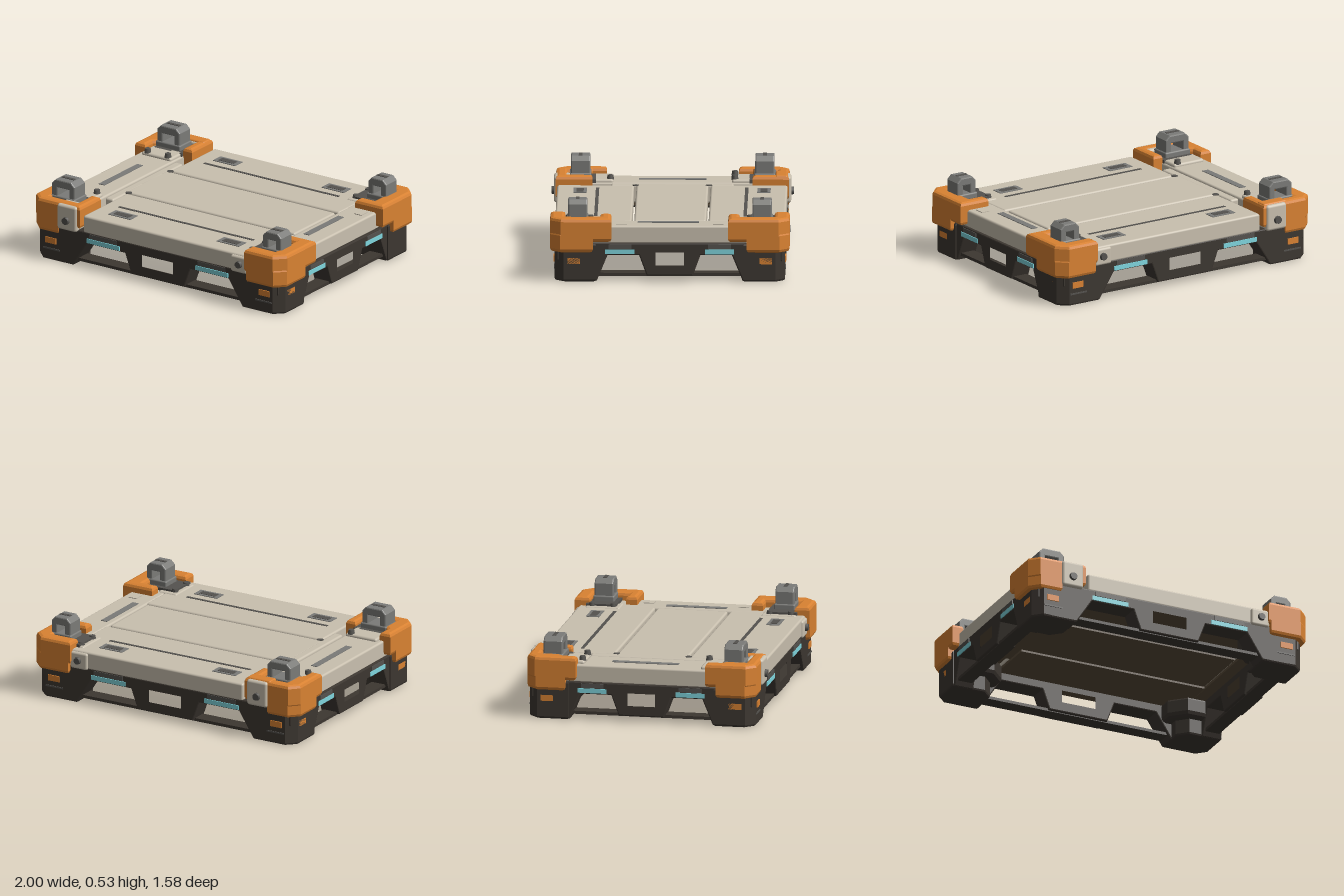
import * as THREE from 'three';
import { RoundedBoxGeometry } from 'three/addons/geometries/RoundedBoxGeometry.js';

const mat = (name, color) => {
  const m = new THREE.MeshStandardMaterial({ color });
  m.name = name;
  return m;
};

export function createModel() {
  const root = new THREE.Group();
  root.name = 'cargoPallet';
  const beige = mat('beige deck', 0xc9c0af);
  const orange = mat('orange bumper', 0xd98232);
  const dark = mat('dark frame', 0x3d3731);
  const brown = mat('brown underside', 0x5a4c3a);
  const gray = mat('gray metal', 0x7b7b78);
  const deepGray = mat('deep gray bolt', 0x55534f);
  const cyan = mat('cyan light', 0x7fd6de);

  const add = (parent, name, geo, m) => {
    const mesh = new THREE.Mesh(geo, m);
    mesh.name = name;
    parent.add(mesh);
    return mesh;
  };
  // Box given by its limits, rounded when r > 0
  const box = (parent, name, m, x0, x1, y0, y1, z0, z1, r = 0) => {
    const w = Math.abs(x1 - x0), h = y1 - y0, d = Math.abs(z1 - z0);
    const geo = r ? new RoundedBoxGeometry(w, h, d, 2, r) : new THREE.BoxGeometry(w, h, d);
    geo.translate((x0 + x1) / 2, (y0 + y1) / 2, (z0 + z1) / 2);
    return add(parent, name, geo, m);
  };
  const shapeOf = pts => new THREE.Shape(pts.map(p => new THREE.Vector2(p[0], p[1])));
  const bevelled = (shape, depth, b) => new THREE.ExtrudeGeometry(shape, {
    depth: depth - 2 * b, bevelEnabled: b > 0, bevelThickness: b, bevelSize: b,
    bevelOffset: -b, bevelSegments: 2, curveSegments: 8,
  });
  // Plan outline (x, z) raised from y0 to y1
  const slab = (parent, name, m, pts, y0, y1, b) => {
    const geo = bevelled(shapeOf(pts), y1 - y0, b);
    geo.rotateX(Math.PI / 2).translate(0, y1 - b, 0);
    return add(parent, name, geo, m);
  };
  const bolt = (parent, x, y, z, r, sideways) => {
    const geo = new THREE.CylinderGeometry(r * 0.8, r, 0.03, 10);
    if (sideways) geo.rotateX(sideways * Math.PI / 2);
    add(parent, 'bolt', geo.translate(x, y, z), deepGray);
  };

  // Deck planks with narrow open slots between them
  const deck = new THREE.Group();
  deck.name = 'deck';
  root.add(deck);
  const planks = [
    [-0.95, -0.675, -0.6, 0.6], [-0.66, -0.595, -0.4, 0.4], [-0.615, 0.728, -0.234, 0.234],
    [-0.59, 0.745, 0.25, 0.75], [-0.59, 0.745, -0.75, -0.25], [0.738, 0.945, -0.74, 0.74],
  ];
  for (const [x0, x1, z0, z1] of planks) {
    box(deck, 'plank', beige, x0, x1, 0.245, 0.365, z0, z1, 0.014);
    box(deck, 'plankUnderside', brown, x0 + 0.005, x1 - 0.005, 0.23, 0.25, z0 + 0.005, z1 - 0.005);
  }
  box(deck, 'seamBacking', brown, -0.7, -0.63, 0.23, 0.3, -0.6, 0.6);
  for (const s of [-1, 1]) {
    box(deck, 'groove', deepGray, -0.49, 0.58, 0.36, 0.367, s * 0.475, s * 0.497);
    for (const x of [-0.38, 0.48]) {
      box(deck, 'ventFrame', gray, x - 0.088, x + 0.088, 0.36, 0.369, s * 0.555, s * 0.642);
      box(deck, 'ventSlot', deepGray, x - 0.06, x + 0.06, 0.365, 0.371, s * 0.575, s * 0.622);
    }
    add(deck, 'keyhole', new THREE.CylinderGeometry(0.022, 0.022, 0.004, 12).translate(-0.585, 0.365, s * 0.238), deepGray);
    box(deck, 'insetPlate', beige, 0.84, 0.9, 0.36, 0.37, s * 0.28, s * 0.35);
    bolt(deck, 0.69, 0.378, s * 0.66, 0.024);
    bolt(deck, 0.69, 0.378, s * 0.52, 0.024);
    bolt(deck, -0.72, 0.395, s * 0.405, 0.024);
  }
  bolt(deck, -0.88, 0.395, -0.405, 0.024);
  box(deck, 'longVent', gray, -0.835, -0.79, 0.36, 0.369, -0.22, 0.22);
  box(deck, 'longVent', gray, 0.78, 0.825, 0.36, 0.369, -0.19, 0.21);

  // Side frames with sloped openings, a centre window, a bottom rail and lights
  const sides = [
    { angle: 0, face: 0.75, long: true }, { angle: Math.PI, face: 0.75, long: true },
    { angle: Math.PI / 2, face: 0.965, long: false }, { angle: -Math.PI / 2, face: 0.965, long: false },
  ];
  for (const { angle, face, long } of sides) {
    const g = new THREE.Group();
    g.name = long ? 'longSideFrame' : 'endFrame';
    g.rotation.y = angle;
    root.add(g);
    const [L, f0, f1, c1, c0, w] = long ? [0.87, 0.67, 0.56, 0.26, 0.21, 0.13] : [0.65, 0.475, 0.405, 0.2, 0.15, 0.1];
    const half = [[L, 0.255], [L, 0.005], [f0, 0.005], [f1, 0.175], [c1, 0.175], [c0, 0.04]];
    const shape = shapeOf([...half, ...half.map(([x, y]) => [-x, y]).reverse()]);
    shape.holes.push(new THREE.Path([[-w, 0.1], [-w, 0.2], [w, 0.2], [w, 0.1]].map(p => new THREE.Vector2(...p))));
    add(g, 'openFrame', bevelled(shape, 0.14, 0.008).translate(0, 0, face - 0.132), dark);
    box(g, 'bottomRail', dark, -f0, f0, 0.035, 0.055, face - 0.12, face - 0.02);
    for (const s of [-1, 1]) {
      const a = long ? 0.3 : 0.23, b = long ? 0.56 : 0.42;
      box(g, 'sideLight', cyan, s * a, s * b, 0.183, 0.213, face - 0.003, face + 0.006);
      box(g, 'lightHood', deepGray, s * (a + 0.02), s * (b - 0.02), 0.216, 0.246, face - 0.003, face + 0.005);
      const m = long ? 0.845 : 0.625;
      box(g, 'footMarker', orange, s * (m - 0.042), s * (m + 0.042), 0.118, 0.158, face - 0.002, face + 0.007);
      box(g, 'footStrip', deepGray, s * (m - 0.07), s * (m + 0.06), 0.075, 0.085, face - 0.002, face + 0.005);
    }
  }

  // Corners: foot, bumper, bracket and latch
  for (const sx of [-1, 1]) for (const sz of [-1, 1]) {
    const g = new THREE.Group();
    g.name = 'corner';
    root.add(g);
    const at = pts => pts.map(([x, z]) => [sx * x, sz * z]);
    const plus = sx > 0;

    slab(g, 'foot', dark, at([[0.67, 0.75], [0.91, 0.75], [0.972, 0.69], [0.972, 0.48], [0.74, 0.48], [0.67, 0.55]]), 0, 0.255, 0.015);
    slab(g, 'footShoulder', dark, at([[0.6, 0.73], [0.94, 0.73], [0.94, 0.42], [0.7, 0.42], [0.6, 0.52]]), 0.11, 0.25, 0.03);

    const cap = plus
      ? [[0.705, 0.78], [0.93, 0.78], [1, 0.71], [1, 0.38], [0.78, 0.38], [0.78, 0.455], [0.885, 0.455], [0.885, 0.68], [0.705, 0.68]]
      : [[0.61, 0.76], [0.94, 0.76], [1, 0.70], [1, 0.43], [0.92, 0.43], [0.92, 0.52], [0.885, 0.55], [0.885, 0.68], [0.68, 0.68], [0.68, 0.52], [0.61, 0.52]];
    slab(g, 'bumperTop', orange, at(cap), 0.265, 0.42, 0.022);
    const o = plus ? 0.78 : 0.76, i = plus ? 0.72 : 0.78;
    slab(g, 'bumperSkirt', orange, at([[i, o], [0.935, o], [1, o - 0.065], [1, 0.5], [0.88, 0.5], [0.88, 0.66], [i, 0.66]]), 0.195, 0.33, 0.022);

    // Pocket floor under the latch
    box(g, 'latchBed', deepGray, sx * 0.68, sx * 0.9, 0.25, 0.385, sz * 0.5, sz * 0.7);

    // Beige brackets bolted to the long side and the deck
    if (plus) {
      box(g, 'sideBracket', beige, 0.585, 0.715, 0.24, 0.355, sz * 0.6, sz * 0.765, 0.015);
      box(g, 'deckBracket', beige, 0.65, 0.79, 0.3, 0.372, sz * 0.47, sz * 0.7, 0.012);
      bolt(g, 0.655, 0.3, sz * 0.768, 0.028, sz);
    } else {
      box(g, 'sideBracket', beige, -0.785, -0.63, 0.24, 0.415, sz * 0.66, sz * 0.773, 0.018);
      if (sz < 0) box(g, 'bumperBridge', orange, -0.8, -0.62, 0.39, 0.424, -0.75, -0.67, 0.012);
      box(g, 'deckBracket', beige, -0.92, -0.685, 0.3, 0.385, sz * 0.385, sz * 0.535, 0.015);
      bolt(g, -0.71, 0.31, sz * 0.775, 0.03, sz);
    }

    // Hoop latch
    const w = plus ? 0.073 : 0.09, cx = plus ? 0.845 : -0.81, t = 0.53;
    const hoop = shapeOf([[-w, 0.37], [w, 0.37], [w, t - 0.03], [w - 0.03, t], [-w + 0.03, t], [-w, t - 0.03]]);
    const v = w - 0.045;
    hoop.holes.push(new THREE.Path([[-v, 0.4], [-v, 0.475], [v, 0.475], [v, 0.4]].map(p => new THREE.Vector2(...p))));
    add(g, 'latchHoop', bevelled(hoop, 0.125, 0.008).translate(cx, 0, sz * 0.6 - 0.0545), gray);
    box(g, 'latchSlot', deepGray, cx - w * 0.55, cx + w * 0.55, t - 0.004, t + 0.003, sz * 0.6 - 0.012, sz * 0.6 + 0.012);
    box(g, 'latchCollar', gray, cx - w - 0.008, cx + w + 0.008, 0.37, 0.42, sz * 0.53, sz * 0.67, 0.01);
  }
  return root;
}
